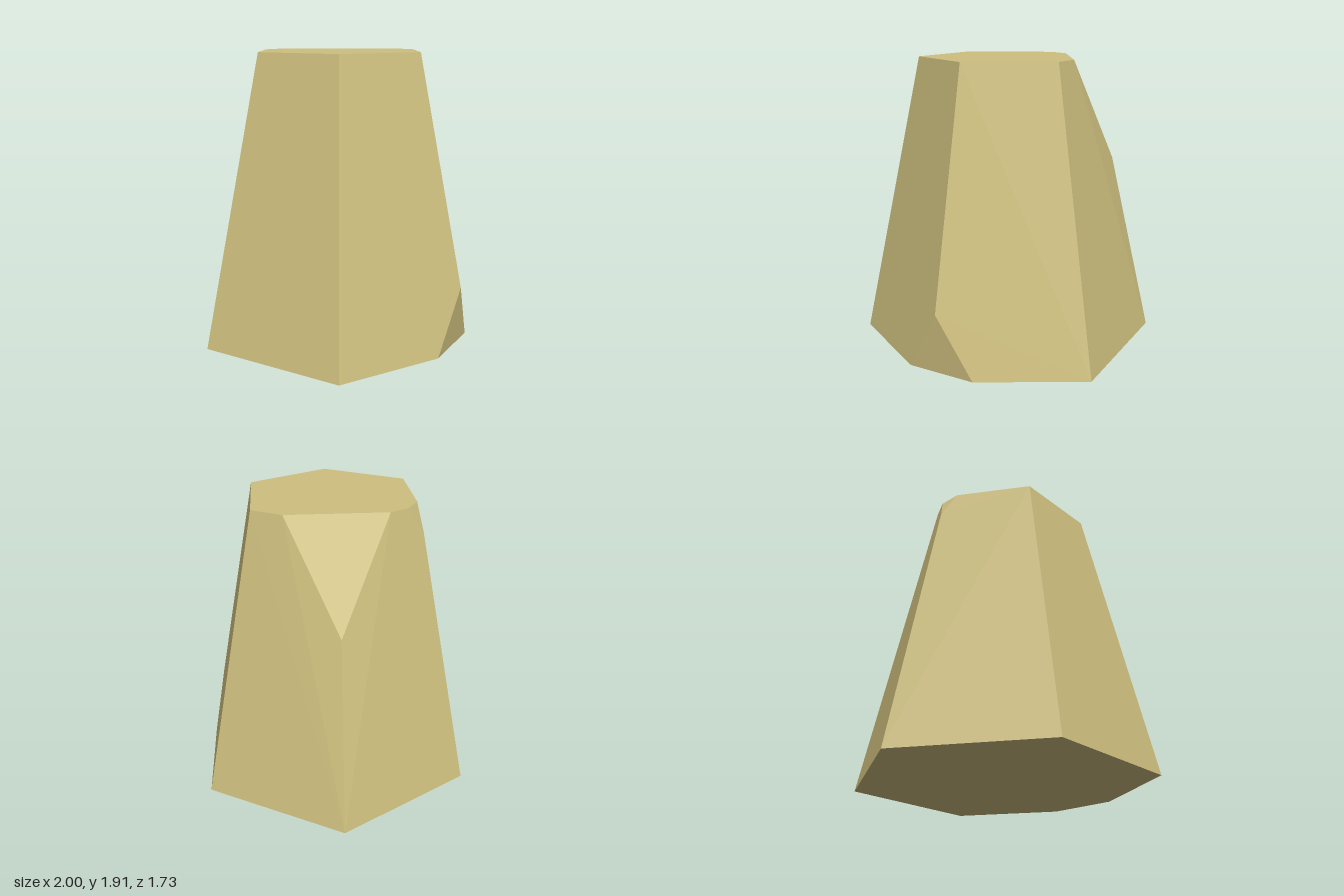
import * as THREE from 'three';
import { ConvexGeometry } from 'three/addons/geometries/ConvexGeometry.js';

const HEIGHT = 1.91, TOP_SCALE = 0.59;

// Corner i of the tapering hexagon, t = 0 at the base and 1 at the top
function corner(i, t) {
  const a = i * Math.PI / 3;
  const r = THREE.MathUtils.lerp(1, TOP_SCALE, t);
  return new THREE.Vector3(r * Math.cos(a), HEIGHT * t, r * Math.sin(a));
}

// Cuts corner i at level t: points along both ring edges, and one on the upright edge
function chip(i, t, toPrevious, toNext, edgeT) {
  return [
    corner(i, t).lerp(corner(i - 1, t), toPrevious),
    corner(i, t).lerp(corner(i + 1, t), toNext),
    corner(i, edgeT),
  ];
}

export function createModel() {
  const group = new THREE.Group();
  group.name = 'chippedStone';
  const stone = new THREE.MeshStandardMaterial({ color: 0xcfc07f });
  stone.name = 'sandy stone';

  const points = [];
  // Base ring, with the front right corner (1) chipped off
  for (const i of [0, 2, 3, 4, 5]) points.push(corner(i, 0));
  points.push(...chip(1, 0, 0.27, 0.27, 0.215));

  // Top ring, with both back corners (4 and 5) chipped off
  for (const i of [0, 1, 2, 3]) points.push(corner(i, 1));
  points.push(...chip(4, 1, 0.14, 0.145, 0.915));
  const [inner, outer] = chip(5, 1, 0.62, 0.63, 0.7);
  // The large chip ends at a slightly sunken point
  points.push(inner, outer, new THREE.Vector3(0.356, 1.23, -0.616));

  const body = new THREE.Mesh(new ConvexGeometry(points), stone);
  body.name = 'stoneBody';
  group.add(body);
  return group;
}
